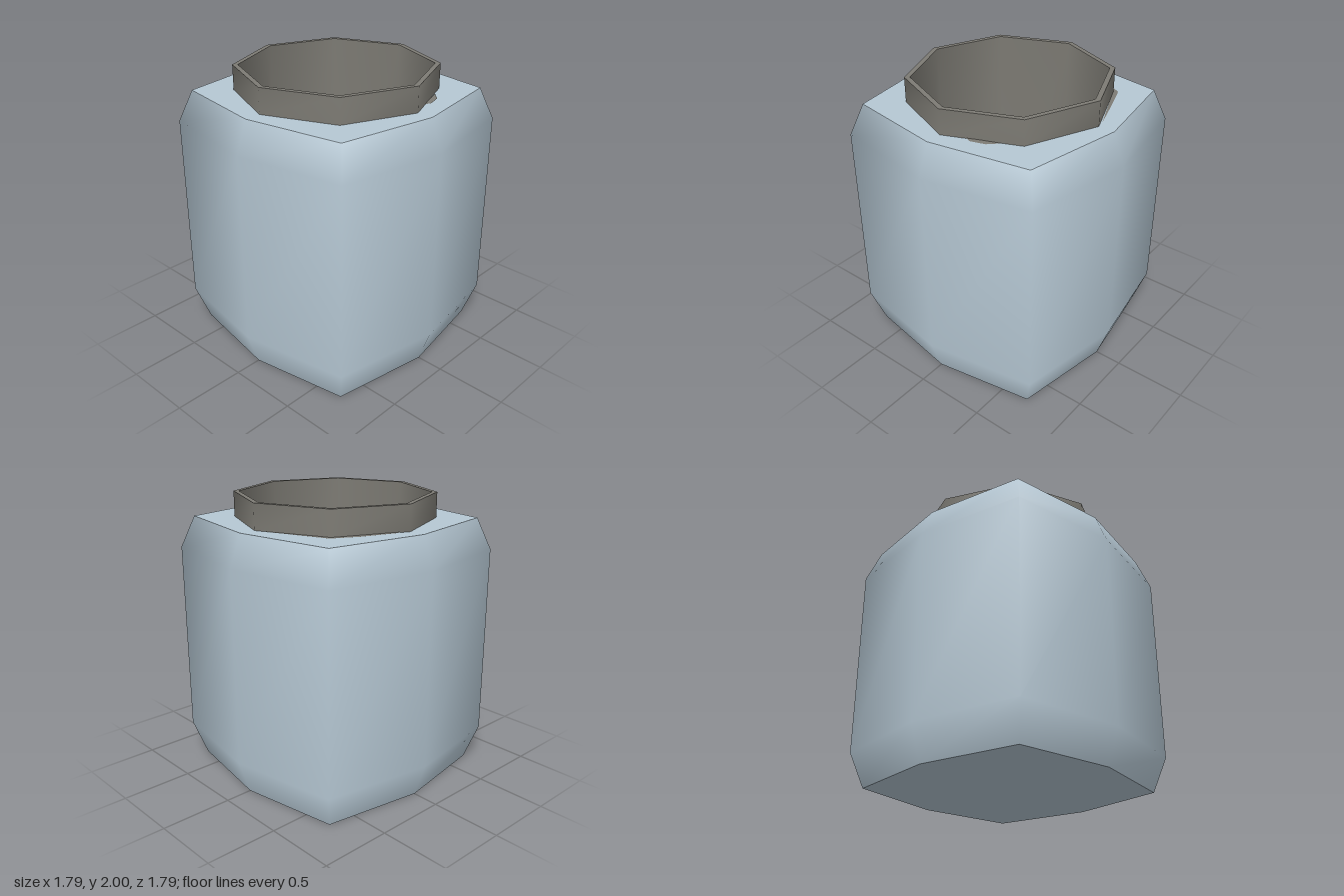
import * as THREE from 'three';

// Eight-cornered cross-section: one radius on the axes, another on the diagonals
function ring(y, axis, diagonal = axis) {
  return Array.from({ length: 8 }, (_, i) => {
    const a = (i * Math.PI) / 4;
    const r = i % 2 ? diagonal : axis;
    return [Math.sin(a) * r, y, Math.cos(a) * r];
  });
}

// Smooth skin through a list of cross-sections; faces outward when listed bottom to top
function loft(rings) {
  const index = [];
  for (let j = 0; j < rings.length - 1; j++) {
    for (let i = 0; i < 8; i++) {
      const a = j * 8 + i, b = j * 8 + ((i + 1) % 8);
      index.push(a, b, b + 8, a, b + 8, a + 8);
    }
  }
  const geometry = new THREE.BufferGeometry();
  geometry.setAttribute('position', new THREE.Float32BufferAttribute(rings.flat(2), 3));
  geometry.setIndex(index);
  geometry.computeVertexNormals();
  return geometry;
}

export function createModel() {
  const glass = new THREE.MeshStandardMaterial({ color: 0xb6c8d4 });
  glass.name = 'paleBlue';
  const metal = new THREE.MeshStandardMaterial({ color: 0x7d7b74 });
  metal.name = 'warmGrey';

  const model = new THREE.Group();
  model.name = 'jar';
  const add = (name, geometry, material) => {
    const mesh = new THREE.Mesh(geometry, material);
    mesh.name = name;
    model.add(mesh);
    return mesh;
  };

  const deck = 1.825, outer = 0.697, inner = 0.66, floor = 0.05;
  const wide = [0.895, 0.765 * Math.SQRT2];
  const narrow = [0.81, 0.692 * Math.SQRT2];

  // Body: square-ish sides with bevelled shoulder and foot
  add('bodySides', loft([
    ring(0, ...narrow), ring(0.245, ...wide), ring(1.605, ...wide), ring(deck, ...narrow),
  ]), glass);
  add('shoulderTop', loft([ring(deck, ...narrow), ring(deck, inner)]), glass);
  add('base', loft([ring(0, 0), ring(0, ...narrow)]), glass);
  add('innerFloor', loft([ring(floor, inner), ring(floor, 0)]), glass);

  // Neck: eight-sided collar whose inner wall lines the jar
  add('neckOuter', loft([ring(deck, outer), ring(2, outer)]), metal);
  add('neckRim', loft([ring(2, outer), ring(2, inner)]), metal);
  add('neckLining', loft([ring(2, inner), ring(floor, inner)]), metal);

  // Pale panel on the front-left facet of the lining
  const width = 2 * inner * Math.sin(Math.PI / 8);
  const panel = add('liningPanel', new THREE.PlaneGeometry(width, 1.66), glass);
  const reach = inner * Math.cos(Math.PI / 8) - 0.004;
  const angle = Math.PI / 8;
  panel.position.set(Math.sin(angle) * reach, 0.89, Math.cos(angle) * reach);
  panel.rotation.y = angle + Math.PI;

  // Thin grey slivers lying on the shoulder beside the neck
  const slivers = [
    [[0.06, -0.67], [0.1, -0.68], [0.35, -0.6], [0.52, -0.51], [0.6, -0.3], [0.685, -0.06], [0.49, -0.49]],
    [[0.15, 0.63], [0.2, 0.65], [0.3, 0.62], [0.37, 0.55]],
  ];
  for (const points of slivers) {
    const shape = new THREE.Shape(points.map(([x, z]) => new THREE.Vector2(x, -z)));
    const sliver = add('shoulderSliver', new THREE.ShapeGeometry(shape), metal);
    sliver.rotation.x = -Math.PI / 2;
    sliver.position.y = deck + 0.003;
  }
  return model;
}
